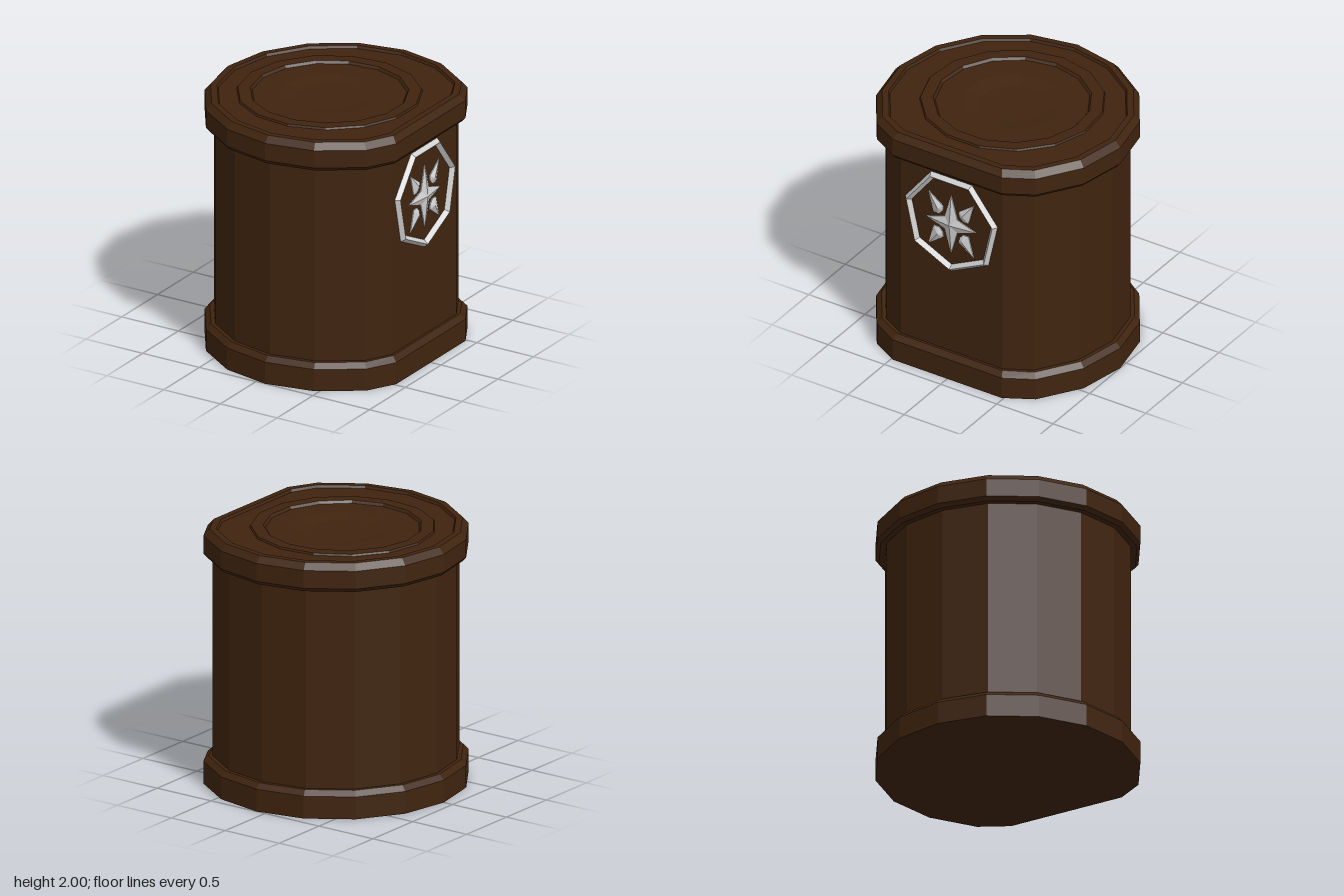
import * as THREE from 'three';

const wood = new THREE.MeshStandardMaterial({ color: 0x40240f, flatShading: true });
wood.name = 'dark brown';
const silver = new THREE.MeshStandardMaterial({ color: 0xd0d0d0, flatShading: true });
silver.name = 'silver';

// Faceted skin through a list of closed rings with equal point counts
function loft(name, rings, material) {
  const pos = [];
  const tri = (...pts) => pts.forEach(p => pos.push(...p));
  for (let j = 0; j < rings.length - 1; j++) {
    const lo = rings[j], up = rings[j + 1], n = lo.length;
    for (let i = 0; i < n; i++) {
      const k = (i + 1) % n;
      tri(lo[i], up[i], lo[k]);
      tri(lo[k], up[i], up[k]);
    }
  }
  const geo = new THREE.BufferGeometry();
  geo.setAttribute('position', new THREE.Float32BufferAttribute(pos, 3));
  geo.computeVertexNormals();
  const mesh = new THREE.Mesh(geo, material);
  mesh.name = name;
  return mesh;
}

// 16-sided outline with its +x side sliced flat
function cutRing([y, r, cut, cx = 0.08]) {
  const pts = [[cut, y, 0.485 * r]];
  for (let i = 2; i <= 14; i++) {
    const a = i * Math.PI / 8;
    pts.push([cx + r * Math.cos(a), y, r * Math.sin(a)]);
  }
  pts.push([cut, y, -0.485 * r]);
  return pts;
}

// Regular 15-sided outline with a corner at -x
function roundRing([y, r]) {
  return Array.from({ length: 15 }, (_, i) => {
    const a = Math.PI + i * Math.PI * 2 / 15;
    return [0.015 + r * Math.cos(a), y, r * Math.sin(a)];
  });
}

// Clockwise seven-sided outline with a corner at the bottom
function heptagon(s, z) {
  return Array.from({ length: 7 }, (_, i) => {
    const a = -Math.PI / 2 - i * Math.PI * 2 / 7;
    return [0.42 * s * Math.cos(a), 0.016 + 0.431 * s * Math.sin(a), z];
  });
}

// Low pyramid over a clockwise outline
function facetedStud(name, outline, apex) {
  return loft(name, [
    outline.map(([x, y]) => [x, y, 0]),
    outline.map(([x, y]) => [x, y, 0.008]),
    outline.map(() => apex),
  ], silver);
}

function createEmblem() {
  const emblem = new THREE.Group();
  emblem.name = 'emblem';
  emblem.add(loft('emblemFrame', [
    heptagon(1, 0), heptagon(0.995, 0.006), heptagon(0.935, 0.035), heptagon(0.87, 0.006), heptagon(0.865, 0),
  ], silver));

  // Four-pointed star
  const star = [];
  for (let i = 0; i < 8; i++) {
    const a = Math.PI / 2 - i * Math.PI / 4;
    const rx = i % 2 ? 0.078 : 0.22, ry = i % 2 ? 0.078 : 0.255;
    star.push([rx * Math.cos(a), ry * Math.sin(a)]);
  }
  emblem.add(facetedStud('star', star, [0, 0, 0.035]));

  // Diagonal shards between the star points
  const shard = [[0.2, 0.23], [0.155, 0.06], [0.107, 0.06], [0.075, 0.095], [0.07, 0.135]];
  for (const sx of [-1, 1]) for (const sy of [-1, 1]) {
    const outline = shard.map(([x, y]) => [sx * x, sy * y]);
    if (sx * sy < 0) outline.reverse();
    emblem.add(facetedStud('starShard', outline, [sx * 0.11, sy * 0.115, 0.03]));
  }
  emblem.rotation.y = Math.PI / 2;
  emblem.position.set(0.85, 1.34, 0);
  return emblem;
}

export function createModel() {
  const model = new THREE.Group();
  model.name = 'container';

  model.add(loft('base', [
    [0, 0, 0.08], [0, 1, 0.91], [0.175, 1, 0.91], [0.215, 0.96, 0.87], [0.215, 0.9, 0.82],
  ].map(cutRing), wood));

  model.add(loft('body', [[0.2, 0.93, 0.85], [1.8, 0.93, 0.85]].map(cutRing), wood));

  // Lid rim with a recessed top panel
  model.add(loft('lid', [
    [1.78, 0.9, 0.82], [1.78, 0.975, 0.885], [1.81, 1, 0.91], [1.95, 1, 0.91],
    [2, 0.955, 0.87], [2, 0.905, 0.82], [1.98, 0.895, 0.81], [1.98, 0.64, 0.59, 0.015],
  ].map(cutRing), wood));

  // Raised ring and shallow dish on the lid
  model.add(loft('lidRing', [
    [1.975, 0.7], [1.995, 0.69], [1.995, 0.595], [1.975, 0.58], [1.975, 0.38], [1.955, 0.25], [1.955, 0],
  ].map(roundRing), wood));

  model.add(createEmblem());
  return model;
}
